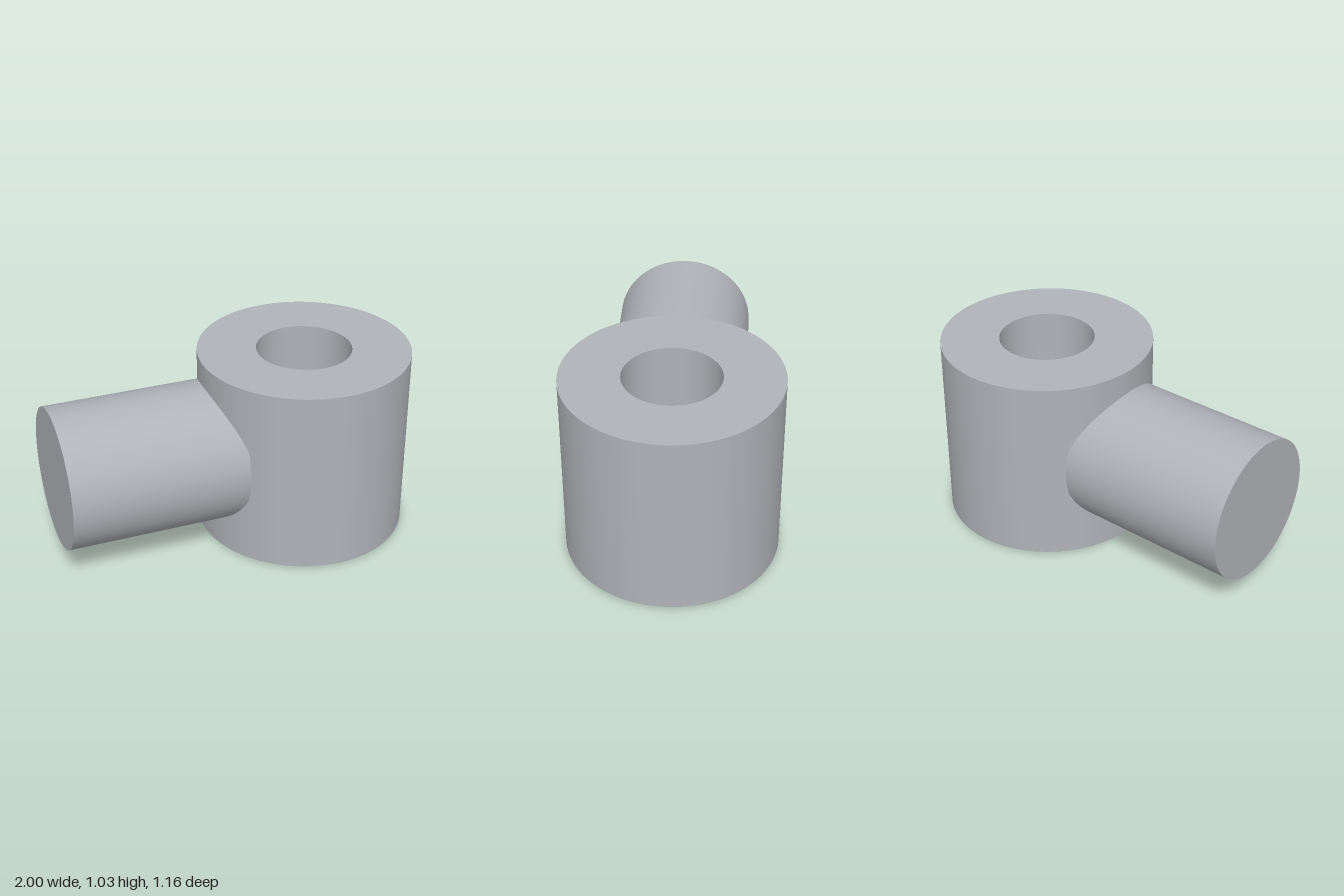
import * as THREE from 'three';
import { toCreasedNormals } from 'three/addons/utils/BufferGeometryUtils.js';

export function createModel() {
  const steel = new THREE.MeshStandardMaterial({ color: 0xb0b3b8 });
  steel.name = 'steelGrey';

  const height = 1.035, ringX = 0.42, outerR = 0.58, boreR = 0.26;
  const shaftR = 0.387, shaftStart = -1, shaftEnd = -0.035;
  const group = new THREE.Group();
  group.name = 'rodEnd';

  // Upright collar with a through bore
  const profile = new THREE.Shape().absarc(0, 0, outerR, 0, Math.PI * 2, false);
  profile.holes.push(new THREE.Path().absarc(0, 0, boreR, 0, Math.PI * 2, true));
  const collarGeometry = new THREE.ExtrudeGeometry(profile, {
    depth: height, bevelEnabled: false, curveSegments: 48,
  });
  collarGeometry.rotateX(-Math.PI / 2);
  const collar = new THREE.Mesh(toCreasedNormals(collarGeometry, Math.PI / 6), steel);
  collar.name = 'collar';
  collar.position.x = ringX;
  group.add(collar);

  // Solid horizontal shaft, its flat end just buried in the collar wall
  const shaftGeometry = new THREE.CylinderGeometry(shaftR, shaftR, shaftEnd - shaftStart, 96);
  shaftGeometry.rotateZ(Math.PI / 2);
  const shaft = new THREE.Mesh(shaftGeometry, steel);
  shaft.name = 'shaft';
  shaft.position.set((shaftStart + shaftEnd) / 2, height / 2, 0);
  group.add(shaft);

  return group;
}
